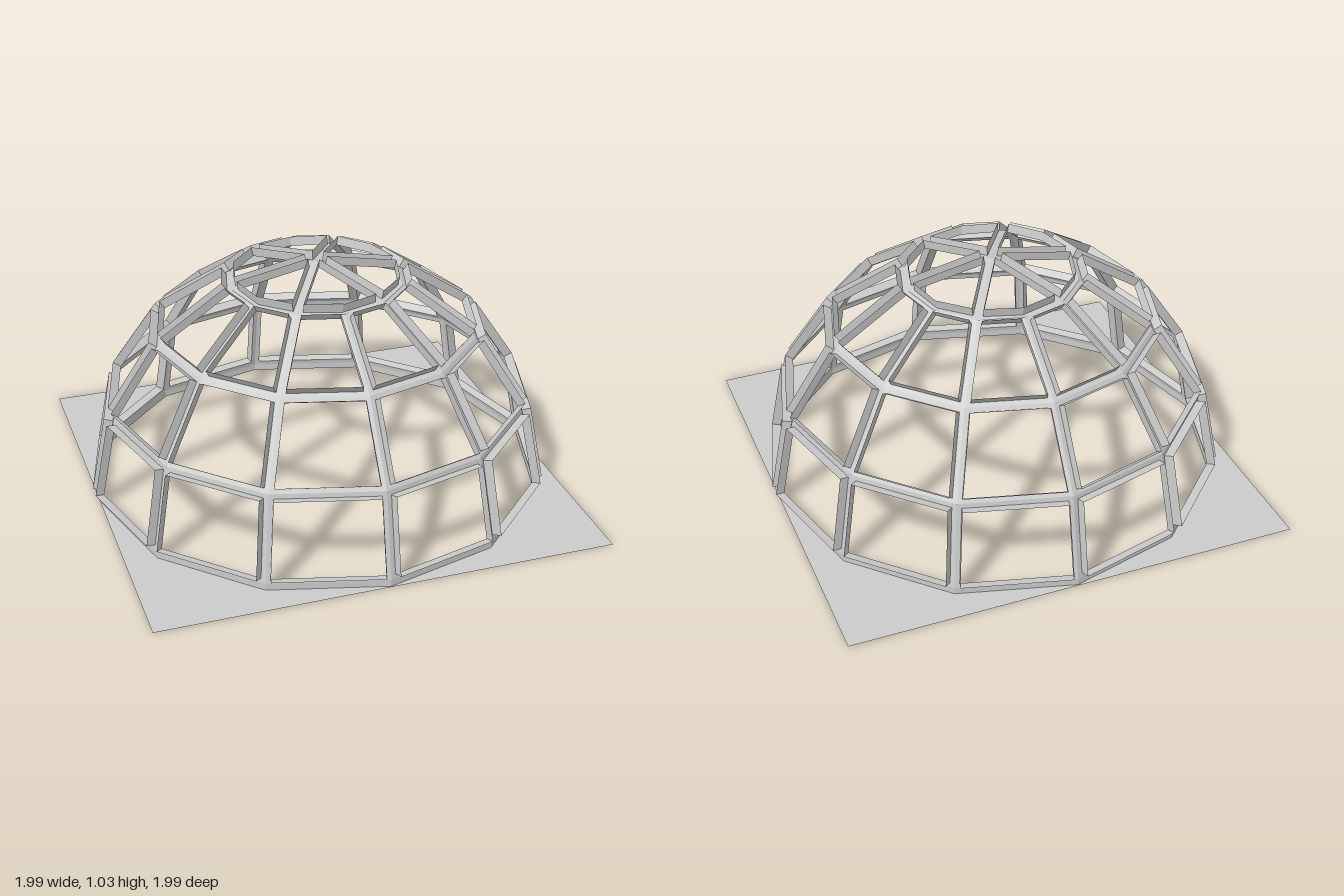
import * as THREE from 'three';

const R = 0.965;       // dome radius
const BASE = 0.03;     // height of the lowest ring of vertices
const BAR = 0.02;      // half width of a glazing bar
const DEPTH = 0.04;    // how far the window surrounds stand out
const SIDES = 12;
const TIERS = 3;

const material = new THREE.MeshStandardMaterial({
  color: 0xcccccc, flatShading: true, side: THREE.DoubleSide,
});

// Point on the dome: level 0 is the base ring, level 4 the apex
function domePoint(i, level) {
  const a = (i / SIDES) * Math.PI * 2;
  const e = (level / 4) * Math.PI / 2;
  return new THREE.Vector3(
    R * Math.cos(e) * Math.cos(a), BASE + R * Math.sin(e), -R * Math.cos(e) * Math.sin(a));
}

// Move each corner of a polygon inward so every edge shifts by d
function inset(corners, d) {
  const n = corners.length;
  return corners.map((p, i) => {
    const u = corners[(i + 1) % n].clone().sub(p).normalize();
    const v = corners[(i + n - 1) % n].clone().sub(p).normalize();
    const s = u.clone().cross(v).length();
    return p.clone().addScaledVector(u.add(v), d / s);
  });
}

// Band of quads joining two loops of corners
function band(out, a, b) {
  a.forEach((p, i) => {
    const j = (i + 1) % a.length;
    for (const q of [p, a[j], b[j], p, b[j], b[i]]) out.push(q.x, q.y, q.z);
  });
}

function addMesh(group, name, positions) {
  const g = new THREE.BufferGeometry();
  g.setAttribute('position', new THREE.Float32BufferAttribute(positions, 3));
  g.computeVertexNormals();
  const mesh = new THREE.Mesh(g, material);
  mesh.name = name;
  group.add(mesh);
}

// One tier of open windows: flat bars plus a raised surround round each opening
function addTier(parent, name, faces) {
  const tier = new THREE.Group();
  tier.name = name;
  const bars = [], surrounds = [];
  for (const face of faces) {
    const normal = face[2].clone().sub(face[0])
      .cross(face[3].clone().sub(face[1])).normalize();
    const opening = inset(face, BAR);
    const rim = opening.map((p) => p.clone().addScaledVector(normal, DEPTH));
    band(bars, face, opening);
    band(surrounds, rim, opening);
  }
  addMesh(tier, 'glazingBars', bars);
  addMesh(tier, 'windowSurrounds', surrounds);
  parent.add(tier);
}

export function createModel() {
  const model = new THREE.Group();
  model.name = 'domeFrame';

  // Three tiers of twelve four-sided windows
  for (let t = 0; t < TIERS; t++) {
    const faces = [];
    for (let i = 0; i < SIDES; i++) {
      faces.push([domePoint(i, t), domePoint(i + 1, t),
        domePoint(i + 1, t + 1), domePoint(i, t + 1)]);
    }
    addTier(model, 'windowTier' + (t + 1), faces);
  }

  // Cap of six kite-shaped windows meeting at the apex
  const cap = [];
  for (let i = 0; i < SIDES; i += 2) {
    cap.push([domePoint(i, 3), domePoint(i + 1, 3), domePoint(i + 2, 3), domePoint(0, 4)]);
  }
  addTier(model, 'cap', cap);

  // Low upright skirt under the dome
  const skirt = new THREE.Mesh(
    new THREE.CylinderGeometry(R, R, BASE, SIDES, 1, true), material);
  skirt.name = 'baseSkirt';
  skirt.position.y = BASE / 2;
  model.add(skirt);

  // Square ground sheet with a twelve-sided hole
  const s = 0.97;
  const sheet = new THREE.Shape([[-s, -s], [s, -s], [s, s], [-s, s]]
    .map(([x, y]) => new THREE.Vector2(x, y)));
  const hole = [];
  for (let i = 0; i < SIDES; i++) {
    const a = (i / SIDES) * Math.PI * 2;
    hole.push(new THREE.Vector2(R * Math.cos(a), R * Math.sin(a)));
  }
  sheet.holes.push(new THREE.Path(hole));
  const ground = new THREE.Mesh(new THREE.ShapeGeometry(sheet).rotateX(-Math.PI / 2), material);
  ground.name = 'baseSheet';
  model.add(ground);

  return model;
}
